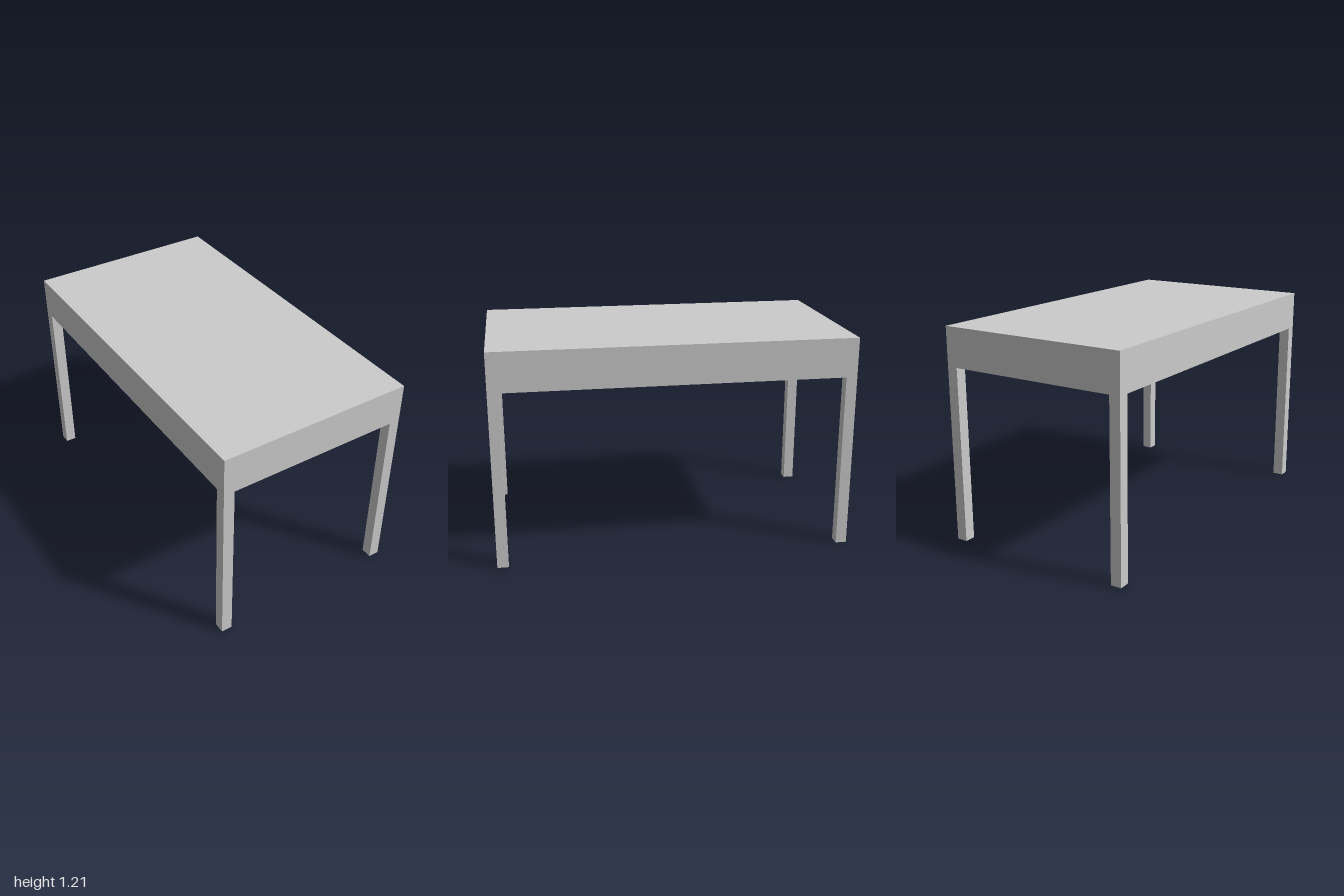
import * as THREE from 'three';

const WIDTH = 1.102, DEPTH = 2, HEIGHT = 1.214;
const LEG = 0.062, LEG_HEIGHT = 0.994;

export function createModel() {
  const table = new THREE.Group();
  table.name = 'table';
  const material = new THREE.MeshStandardMaterial({ color: 0xcccccc });

  // Thick solid top with a flat underside
  const thickness = HEIGHT - LEG_HEIGHT;
  const top = new THREE.Mesh(new THREE.BoxGeometry(WIDTH, thickness, DEPTH), material);
  top.name = 'tableTop';
  top.position.y = LEG_HEIGHT + thickness / 2;
  table.add(top);

  // Square legs, flush with the outer corners of the top
  const legGeometry = new THREE.BoxGeometry(LEG, LEG_HEIGHT, LEG);
  for (const [zName, z] of [['front', 1], ['back', -1]]) {
    for (const [xName, x] of [['Left', 1], ['Right', -1]]) {
      const leg = new THREE.Mesh(legGeometry, material);
      leg.name = `${zName}${xName}Leg`;
      leg.position.set(x * (WIDTH - LEG) / 2, LEG_HEIGHT / 2, z * (DEPTH - LEG) / 2);
      table.add(leg);
    }
  }
  return table;
}
